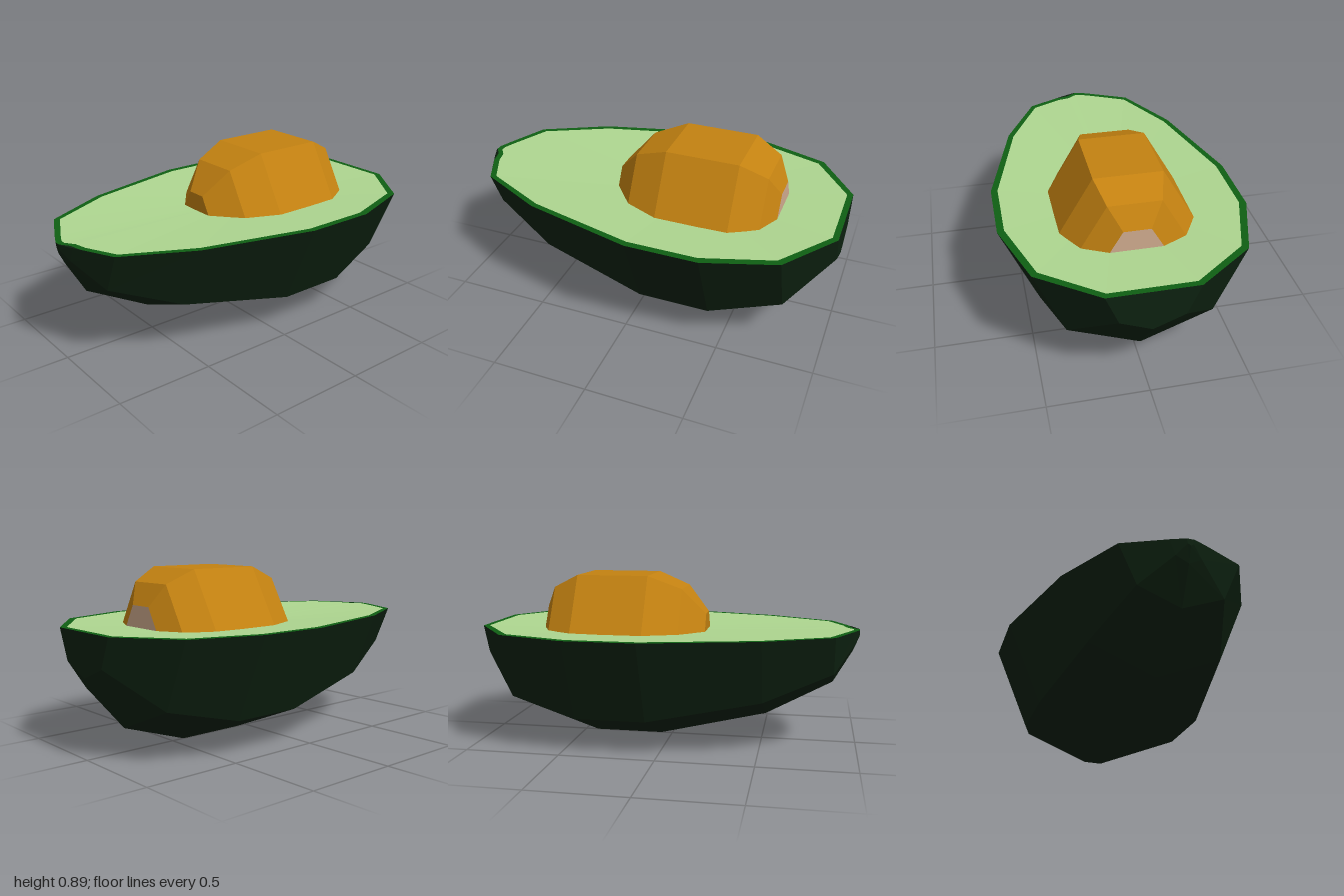
import * as THREE from 'three';

const RIM_Y = 0.615;

// Flat-shaded loft along x: each station is [x, half width, half height]
function loft(stations, cy, from, to, steps) {
  const rings = stations.map(([x, w, h]) => {
    const ring = [];
    for (let j = 0; j <= steps; j++) {
      const a = from + ((to - from) * j) / steps;
      ring.push([x, cy + h * Math.sin(a), w * Math.cos(a)]);
    }
    return ring;
  });
  const pos = [];
  const tri = (...pts) => pts.forEach((p) => pos.push(...p));
  for (let i = 0; i < rings.length - 1; i++) {
    for (let j = 0; j < steps; j++) {
      const a = rings[i][j], b = rings[i + 1][j], c = rings[i][j + 1], d = rings[i + 1][j + 1];
      tri(a, c, b);
      tri(b, c, d);
    }
  }
  const cap = (ring, flip) => {
    for (let j = 1; j < steps; j++) {
      if (flip) tri(ring[0], ring[j + 1], ring[j]);
      else tri(ring[0], ring[j], ring[j + 1]);
    }
  };
  cap(rings[0], true);
  const capStart = pos.length / 3;
  cap(rings[rings.length - 1], false);
  const geo = fromPositions(pos);
  // Group 1 is the cap at the +x end
  geo.addGroup(0, capStart, 0);
  geo.addGroup(capStart, pos.length / 3 - capStart, 1);
  return geo;
}

function fromPositions(pos) {
  const geo = new THREE.BufferGeometry();
  geo.setAttribute('position', new THREE.Float32BufferAttribute(pos, 3));
  geo.computeVertexNormals();
  return geo;
}

function material(name, color, side = THREE.FrontSide) {
  const m = new THREE.MeshStandardMaterial({ color, flatShading: true, side });
  m.name = name;
  return m;
}

export function createModel() {
  const group = new THREE.Group();
  const skinMat = material('dark skin', 0x0d2110, THREE.DoubleSide);
  const rimMat = material('green rim', 0x0f5f13);
  const fleshMat = material('pale flesh', 0xaed690);
  const pitMat = material('brown pit', 0xc48211);
  const pitEndMat = material('pale pit end', 0xd2ad90);

  const add = (name, geo, mat) => {
    const mesh = new THREE.Mesh(geo, mat);
    mesh.name = name;
    group.add(mesh);
  };

  // Skin: half shell with four facets across
  const shell = [
    [-1, 0.02, 0.035], [-0.97, 0.09, 0.11], [-0.87, 0.3, 0.285], [-0.52, 0.48, 0.475],
    [0.06, 0.63, 0.615], [0.43, 0.63, 0.615], [0.79, 0.51, 0.495], [1, 0.22, 0.22],
  ];
  add('skin', loft(shell, RIM_Y, 0, -Math.PI, 4), [skinMat, skinMat]);

  // Cut outline, with a small notch near the stem on the front side
  const outline = [
    ...shell.slice(1).map(([x, w]) => [x, -w]),
    ...shell.slice(2).reverse().map(([x, w]) => [x, w]),
    [-0.95, 0.13], [-0.965, 0.06], [-1, 0.01], [-1, -0.02],
  ];
  const inner = outline.map(([x, z]) => [x * 0.97, z * 0.945]);

  // Rim: flat ring between the cut outline and the flesh
  const toVec = ([x, z]) => new THREE.Vector2(x, -z);
  const ring = new THREE.Shape(outline.map(toVec));
  ring.holes.push(new THREE.Path(inner.map(toVec)));
  add('rim', new THREE.ShapeGeometry(ring).rotateX(-Math.PI / 2).translate(0, RIM_Y, 0), rimMat);

  // Flesh: shallow dish fanned around the pit
  const flesh = [];
  inner.forEach(([x, z], i) => {
    const [nx, nz] = inner[(i + 1) % inner.length];
    flesh.push(0.2, 0.585, 0, nx, RIM_Y, nz, x, RIM_Y, z);
  });
  add('flesh', fromPositions(flesh), fleshMat);

  // Pit: six-sided loft with a pale end
  const pit = [
    [-0.195, 0.105], [-0.075, 0.262], [0.1, 0.342], [0.48, 0.342], [0.62, 0.262], [0.68, 0.135],
  ].map(([x, r]) => [x, r, r]);
  add('pit', loft(pit, 0.596, Math.PI, -Math.PI, 6), [pitMat, pitEndMat]);

  return group;
}
